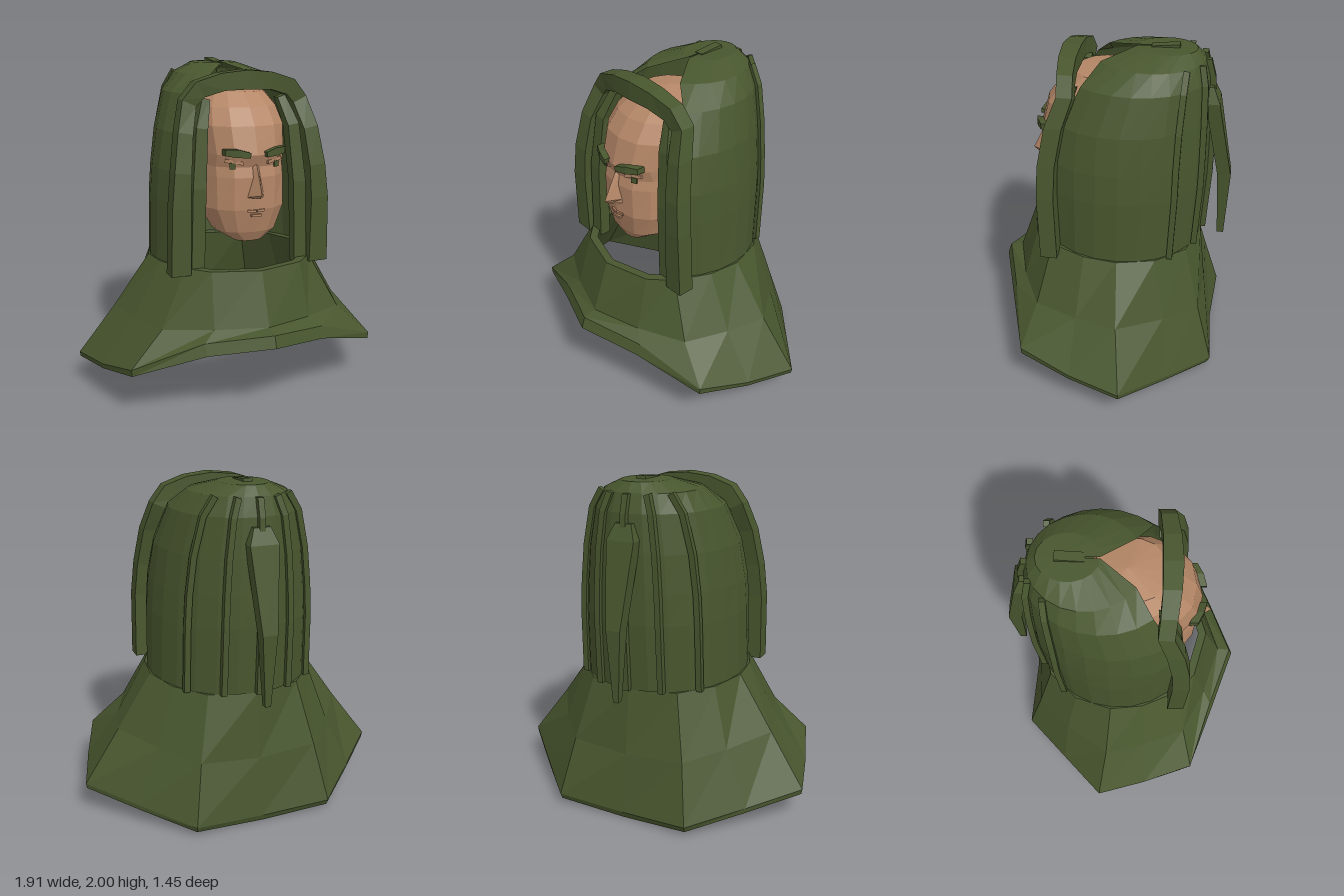
import * as THREE from 'three';

const cloth = new THREE.MeshStandardMaterial({ color: 0x48562e, side: THREE.DoubleSide });
cloth.name = 'mossGreenCloth';
const skin = new THREE.MeshStandardMaterial({ color: 0xb58767, side: THREE.DoubleSide });
skin.name = 'tanSkin';

// Faceted skin over a stack of rings; rings run from +z towards +x, bottom to top
function loft(name, rings, material, closed = true) {
  const n = rings[0].length, pos = rings.flat(2), index = [];
  for (let r = 0; r < rings.length - 1; r++) {
    for (let i = 0; i < (closed ? n : n - 1); i++) {
      const a = r * n + i, b = r * n + (i + 1) % n;
      index.push(a, b, b + n, a, b + n, a + n);
    }
  }
  let g = new THREE.BufferGeometry();
  g.setAttribute('position', new THREE.Float32BufferAttribute(pos, 3));
  g.setIndex(index);
  g = g.toNonIndexed();
  g.computeVertexNormals();
  const mesh = new THREE.Mesh(g, material);
  mesh.name = name;
  return mesh;
}

const collapse = (p, n) => Array.from({ length: n }, () => p);

// Rectangular bar along a path of [x, y, z, width, depth]
function bar(name, path, material) {
  const rings = path.map((p, i) => {
    const a = path[Math.max(i - 1, 0)], b = path[Math.min(i + 1, path.length - 1)];
    const l = Math.hypot(b[0] - a[0], b[1] - a[1]) || 1;
    const nx = (b[1] - a[1]) / l * p[3] / 2, ny = -(b[0] - a[0]) / l * p[3] / 2, d = p[4] / 2;
    return [[1, 1], [1, -1], [-1, -1], [-1, 1]].map(([s, t]) => [p[0] + s * nx, p[1] + s * ny, p[2] + t * d]);
  });
  const first = path[0].slice(0, 3), last = path[path.length - 1].slice(0, 3);
  return loft(name, [collapse(first, 4), ...rings, collapse(last, 4)], material);
}

// Mirror half a ring (front centre to back centre) into a full one
const mirrorRing = half => [...half, ...half.slice(1, -1).reverse().map(([x, y, z]) => [-x, y, z])];

// Hood levels: height, side radius, depth radius, centre z, half angle of the front opening
const levels = [
  [0.80, 0.50, 0.51, -0.05, 52], [1.20, 0.49, 0.53, -0.05, 53], [1.38, 0.475, 0.53, -0.05, 53],
  [1.60, 0.44, 0.50, -0.075, 50], [1.82, 0.37, 0.42, -0.14, 48], [1.925, 0.28, 0.31, -0.22, 30],
  [1.98, 0.14, 0.17, -0.31, 2]
];
function hoodPoint([y, rx, rz, cz], degrees, grow = 0) {
  const a = degrees * Math.PI / 180;
  return [Math.sin(a) * (rx + grow), y, cz + Math.cos(a) * (rz + grow)];
}

export function createModel() {
  const model = new THREE.Group();
  model.name = 'hoodedBust';

  // Hood shell with a notch running back over the crown
  const columns = 18;
  const hoodRings = levels.map(l => Array.from({ length: columns + 1 }, (_, i) =>
    hoodPoint(l, l[4] + (360 - 2 * l[4]) * i / columns)));
  model.add(loft('hoodShell', [...hoodRings, collapse([0, 1.985, -0.36], columns + 1)], cloth, false));

  // Thick rim: two posts joined by an arch
  const halfRim = [
    [0.44, 0.8, 0.31, 0.12, 0.1], [0.435, 1.2, 0.32, 0.11, 0.1], [0.42, 1.4, 0.31, 0.1, 0.1],
    [0.39, 1.62, 0.27, 0.09, 0.1], [0.345, 1.78, 0.21, 0.09, 0.09], [0.28, 1.855, 0.22, 0.1, 0.09],
    [0.15, 1.895, 0.235, 0.1, 0.1]
  ];
  const mirroredRim = [...halfRim].reverse().map(([x, ...rest]) => [-x, ...rest]);
  model.add(bar('hoodRim', [...halfRim, [0, 1.905, 0.24, 0.11, 0.11], ...mirroredRim], cloth));

  // Inner lining folds beside the face
  for (const s of [1, -1]) {
    model.add(bar('liningFold', [
      [s * 0.33, 0.8, 0.3, 0.08, 0.07], [s * 0.315, 1.3, 0.3, 0.08, 0.07],
      [s * 0.285, 1.64, 0.26, 0.07, 0.08], [s * 0.235, 1.8, 0.2, 0.05, 0.06]
    ], cloth));
  }

  // Raised seams over the back of the hood
  for (const angle of [132, 157, 180, 203, 228]) {
    const path = levels.slice(0, 6).map(l => [...hoodPoint(l, angle, 0.012), 0.035, 0.035]);
    model.add(bar('hoodSeam', path, cloth));
  }

  // Hanging tail and small crown knot
  model.add(bar('hoodTail', [
    [0, 0.77, -0.685, 0.035, 0.04], [0, 1.2, -0.68, 0.09, 0.08],
    [0, 1.68, -0.585, 0.17, 0.08], [0, 1.77, -0.56, 0.1, 0.05]
  ], cloth));
  const knot = new THREE.Mesh(new THREE.BoxGeometry(0.055, 0.03, 0.16), cloth);
  knot.position.set(0, 1.98, -0.3);
  knot.rotation.x = 0.1;
  knot.name = 'crownKnot';
  model.add(knot);

  // Flared cape: half rings from the front centre to the back centre
  const top = [[0, 0.83, 0.51], [0.28, 0.83, 0.43], [0.4, 0.83, 0.31], [0.49, 0.825, 0.1],
    [0.51, 0.82, -0.1], [0.44, 0.81, -0.32], [0.28, 0.8, -0.49], [0, 0.8, -0.56]];
  const middle = [[0, 0.52, 0.62], [0.3, 0.51, 0.52], [0.57, 0.5, 0.38], [0.67, 0.5, 0.12],
    [0.73, 0.5, -0.13], [0.55, 0.46, -0.39], [0.36, 0.42, -0.59], [0, 0.4, -0.605]];
  const hem = [[0, 0.43, 0.725], [0.37, 0.385, 0.59], [0.77, 0.265, 0.44], [0.87, 0.2, 0.13],
    [0.95, 0.165, -0.18], [0.69, 0.1, -0.43], [0.42, 0.035, -0.675], [0, 0.005, -0.65]];
  const lift = [0.07, 0.07, 0.04, 0.03, 0.03, 0.03, 0.035, 0.04];
  const hemTop = hem.map(([x, y, z], i) => [x * 1.005, y + lift[i], i < 2 ? z - 0.025 : z - (i > 5 ? 0.015 : 0)]);
  const inset = (ring, k) => ring.map(([x, y, z]) => [x * k, y, z * k]);
  model.add(loft('cape', [inset(top, 0.9), inset(middle, 0.94), inset(hem, 0.96), hem, hemTop, middle, top, inset(top, 0.9)]
    .map(mirrorRing), cloth));

  // Head: height, half width, front z, back z
  const headLevels = [
    [0.97, 0.09, 0.35, 0.2], [1.03, 0.19, 0.38, 0.05], [1.17, 0.255, 0.415, -0.1], [1.36, 0.255, 0.42, -0.18],
    [1.42, 0.255, 0.405, -0.19], [1.49, 0.255, 0.43, -0.2], [1.65, 0.27, 0.385, -0.22],
    [1.75, 0.245, 0.31, -0.21], [1.83, 0.19, 0.21, -0.18]
  ];
  const soften = v => Math.sign(v) * Math.abs(v) ** 0.85;
  const headRings = headLevels.map(([y, w, front, back]) => Array.from({ length: 14 }, (_, i) => {
    const a = i / 14 * Math.PI * 2;
    return [w * soften(Math.sin(a)), y, (front + back) / 2 + (front - back) / 2 * soften(Math.cos(a))];
  }));
  model.add(loft('head', [collapse([0, 0.97, 0.27], 14), ...headRings, collapse([0, 1.86, 0.0], 14)], skin));

  // Nose wedge
  const noseRing = (y, w, z) => [[0, y, z], [w, y, 0.4], [0, y, 0.37], [-w, y, 0.4]];
  model.add(loft('nose', [collapse([0, 1.24, 0.4], 4), noseRing(1.245, 0.055, 0.47), noseRing(1.27, 0.05, 0.5),
    noseRing(1.42, 0.02, 0.425), collapse([0, 1.45, 0.4], 4)], skin));

  // Eyes, brows and lips
  const block = (name, w, h, d, x, y, z, turn, tilt, material) => {
    const mesh = new THREE.Mesh(new THREE.BoxGeometry(w, h, d), material);
    mesh.position.set(x, y, z);
    mesh.rotation.set(0, turn, tilt);
    mesh.name = name;
    model.add(mesh);
  };
  for (const s of [1, -1]) {
    model.add(bar('eyebrow', [[s * 0.05, 1.495, 0.43, 0.03, 0.05], [s * 0.12, 1.507, 0.41, 0.045, 0.05],
      [s * 0.185, 1.51, 0.375, 0.035, 0.05]], cloth));
    block('eyelid', 0.11, 0.02, 0.03, s * 0.12, 1.452, 0.375, s * 0.4, s * 0.15, skin);
    block('iris', 0.035, 0.035, 0.009, s * 0.135, 1.43, 0.385, s * 0.4, 0, cloth);
    block('lip', 0.05, 0.014, 0.02, s * 0.026, 1.165, 0.41, s * 0.25, 0, skin);
  }
  block('lowerLip', 0.06, 0.014, 0.02, 0, 1.138, 0.412, 0, 0, skin);

  return model;
}
